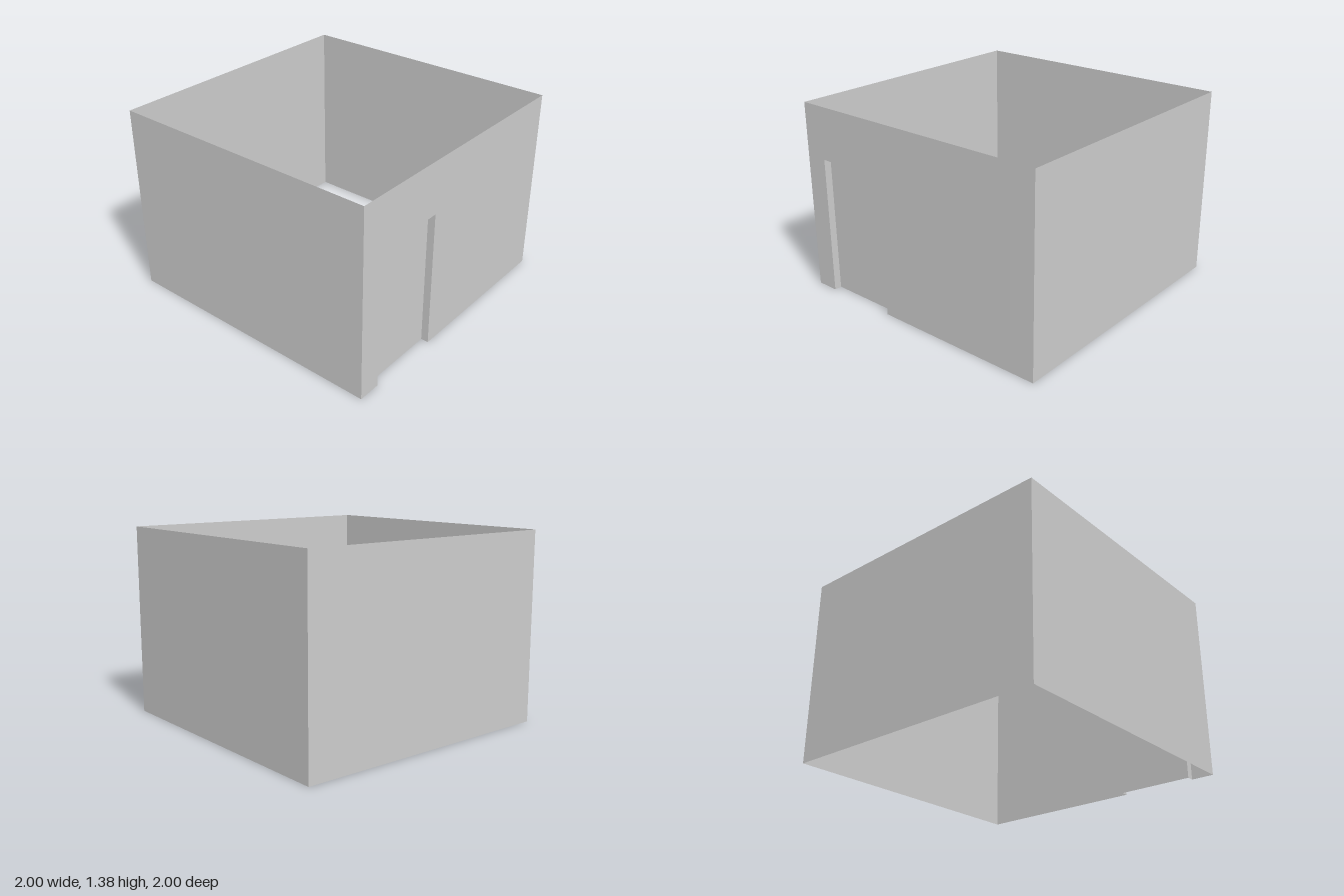
import * as THREE from 'three';

const HEIGHT = 1.38;
const DOOR = { back: 0.28, front: 0.835, top: 1.0, depth: 0.053 };

export function createModel() {
  const room = new THREE.Group();
  room.name = 'room';
  const material = new THREE.MeshStandardMaterial({
    color: 0xcccccc, side: THREE.DoubleSide, flatShading: true,
  });

  function add(name, geometry, position, rotation = [0, 0, 0]) {
    const mesh = new THREE.Mesh(geometry, material);
    mesh.name = name;
    mesh.position.set(...position);
    mesh.rotation.set(...rotation);
    room.add(mesh);
  }

  // Three plain walls, each a thin sheet facing outwards
  const wall = new THREE.PlaneGeometry(2, HEIGHT);
  add('frontWall', wall, [0, HEIGHT / 2, 1]);
  add('backWall', wall, [0, HEIGHT / 2, -1], [0, Math.PI, 0]);
  add('rightWall', wall, [-1, HEIGHT / 2, 0], [0, -Math.PI / 2, 0]);

  // Left wall with the doorway cut out of its lower edge (shape x is -z)
  const outline = new THREE.Shape([
    [-1, 0], [-DOOR.front, 0], [-DOOR.front, DOOR.top], [-DOOR.back, DOOR.top],
    [-DOOR.back, 0], [1, 0], [1, HEIGHT], [-1, HEIGHT],
  ].map(([x, y]) => new THREE.Vector2(x, y)));
  add('doorWall', new THREE.ShapeGeometry(outline), [1, 0, 0], [0, Math.PI / 2, 0]);

  // Door recess pushed into the room: panel, two jambs and a lintel
  const width = DOOR.front - DOOR.back;
  const middle = (DOOR.front + DOOR.back) / 2;
  const jamb = new THREE.PlaneGeometry(DOOR.depth, DOOR.top);
  const x = 1 - DOOR.depth / 2;
  add('doorPanel', new THREE.PlaneGeometry(width, DOOR.top),
    [1 - DOOR.depth, DOOR.top / 2, middle], [0, Math.PI / 2, 0]);
  add('frontJamb', jamb, [x, DOOR.top / 2, DOOR.front], [0, Math.PI, 0]);
  add('backJamb', jamb, [x, DOOR.top / 2, DOOR.back]);
  add('lintel', new THREE.PlaneGeometry(DOOR.depth, width),
    [x, DOOR.top, middle], [Math.PI / 2, 0, 0]);

  return room;
}
